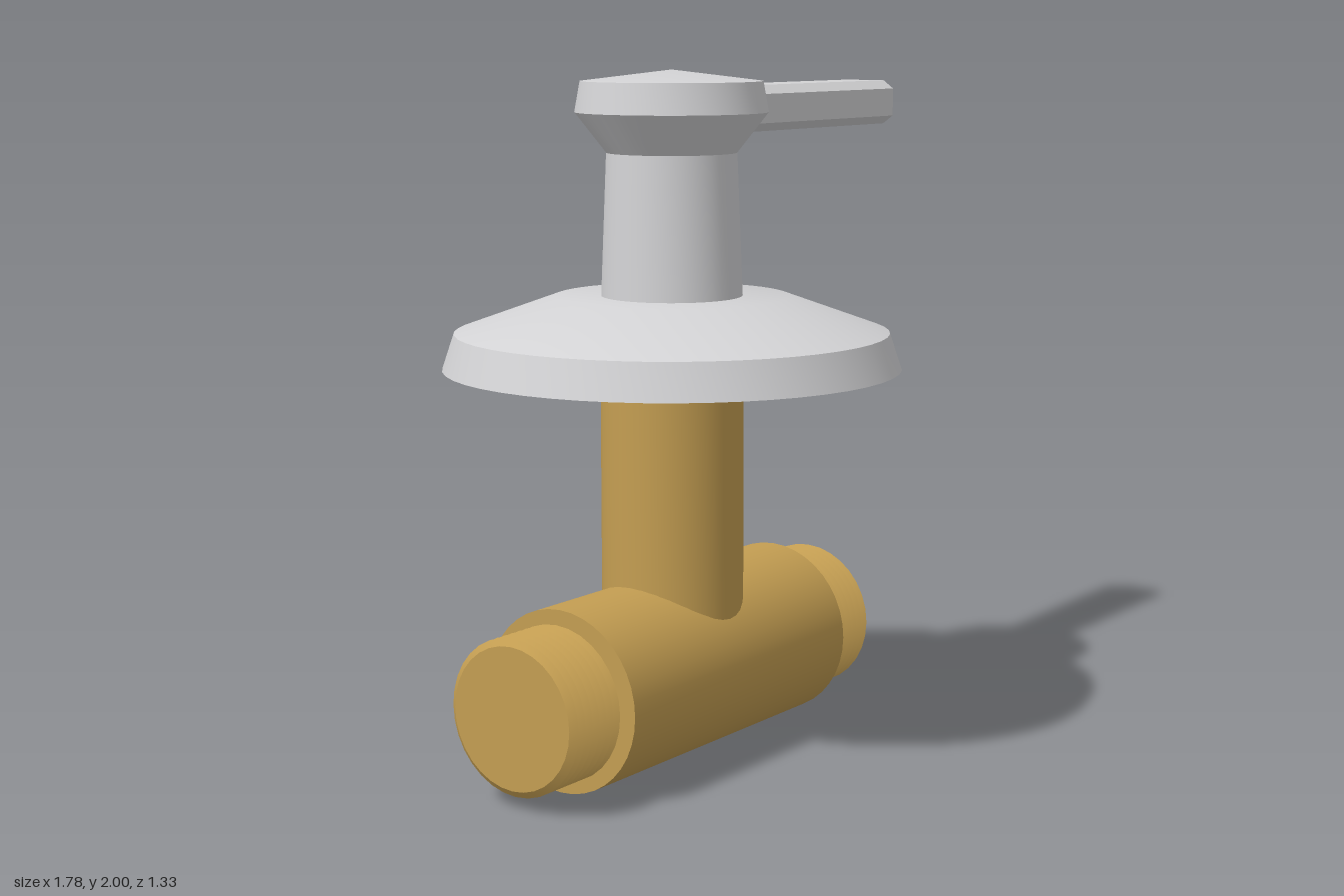
import * as THREE from 'three';
import { toCreasedNormals } from 'three/addons/utils/BufferGeometryUtils.js';

const AXIS_X = -0.16; // vertical axis of the valve
const PIPE_Y = 0.264; // height of the horizontal pipe

export function createModel() {
  const brass = new THREE.MeshStandardMaterial({ color: 0xc49e52 });
  brass.name = 'brass';
  const chrome = new THREE.MeshStandardMaterial({ color: 0xd3d3d5 });
  chrome.name = 'chrome';

  const model = new THREE.Group();
  model.name = 'stopValve';

  const add = (name, geometry, material) => {
    const mesh = new THREE.Mesh(toCreasedNormals(geometry, 0.4), material);
    mesh.name = name;
    model.add(mesh);
    return mesh;
  };
  // Turned part from [radius, height] pairs, bottom to top
  const turned = (points, segments = 40) =>
    new THREE.LatheGeometry(points.map(([r, y]) => new THREE.Vector2(r, y)), segments);

  // Horizontal pipe body
  const body = turned([[0, -0.685], [0.263, -0.685], [0.263, 0.365], [0, 0.365]]).rotateZ(-Math.PI / 2);
  add('pipeBody', body, brass).position.y = PIPE_Y;

  // Threaded ends with V-shaped rings
  const threadEnd = (name, from, to) => {
    const rings = 7;
    const pitch = (to - from) / rings;
    const points = [[0, from], [0.203, from]];
    for (let i = 0; i < rings; i++) {
      points.push([0.223, from + (i + 0.5) * pitch], [0.203, from + (i + 1) * pitch]);
    }
    points.push([0, to]);
    add(name, turned(points, 32).rotateZ(-Math.PI / 2), brass).position.y = PIPE_Y;
  };
  threadEnd('rightThread', -0.895, -0.685);
  threadEnd('leftThread', 0.365, 0.578);

  // Vertical stem rising from the pipe
  const stem = turned([[0, PIPE_Y], [0.208, PIPE_Y], [0.208, 1.16], [0, 1.16]]);
  add('stem', stem, brass).position.x = AXIS_X;

  // Wall flange
  const flange = turned([[0, 1.145], [0.665, 1.145], [0.63, 1.25], [0.34, 1.355], [0, 1.355]], 48);
  add('flange', flange, chrome).position.x = AXIS_X;

  // Handle hub with flared head and shallow conical cap
  const hub = turned([[0, 1.34], [0.205, 1.34], [0.188, 1.765], [0.278, 1.88], [0.262, 1.968], [0, 2]]);
  add('handleHub', hub, chrome).position.x = AXIS_X;

  // Lever with chamfered section and tip
  const bevel = 0.015;
  const section = new THREE.Shape(
    [[0.09, -0.035], [0.09, 0.035], [0.065, 0.053], [-0.065, 0.053],
      [-0.09, 0.035], [-0.09, -0.035], [-0.065, -0.053], [0.065, -0.053]]
      .map(([z, y]) => new THREE.Vector2(z, y)));
  const lever = new THREE.ExtrudeGeometry(section, {
    depth: 0.875, bevelEnabled: true, bevelThickness: bevel, bevelSize: bevel, bevelSegments: 1,
  }).rotateY(Math.PI / 2);
  add('lever', lever, chrome).position.set(0, 1.882, 0);

  return model;
}
